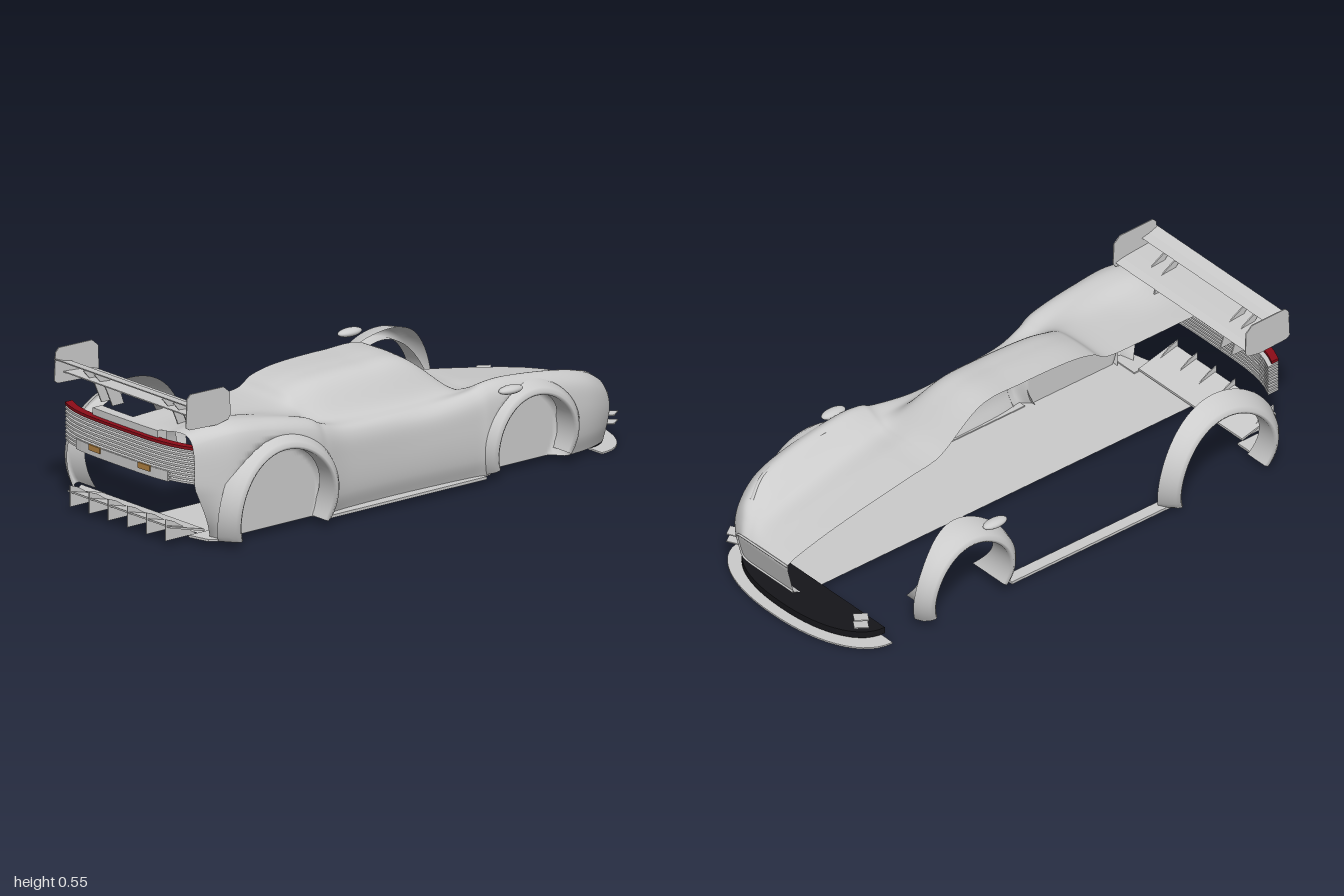
import * as THREE from 'three';

const paint = (color = 0xcccccc) => new THREE.MeshStandardMaterial({ color, side: THREE.DoubleSide });
const grey = paint(), black = paint(0x16161a), red = paint(0x8c0c18), amber = paint(0xb08040);

// Body stations from nose to tail:
// x, centre height, roof edge z/y, valley z/y, fender crown z/y, side z
const STATIONS = [
  [0.93, 0.17, 0.15, 0.17, 0.20, 0.168, 0.24, 0.165, 0.27],
  [0.90, 0.185, 0.17, 0.187, 0.22, 0.192, 0.27, 0.195, 0.315],
  [0.85, 0.20, 0.20, 0.205, 0.25, 0.222, 0.31, 0.24, 0.362],
  [0.75, 0.225, 0.22, 0.23, 0.27, 0.26, 0.335, 0.292, 0.40],
  [0.60, 0.255, 0.23, 0.26, 0.28, 0.288, 0.35, 0.326, 0.415],
  [0.40, 0.29, 0.24, 0.29, 0.29, 0.312, 0.36, 0.349, 0.42],
  [0.30, 0.305, 0.25, 0.30, 0.30, 0.318, 0.365, 0.345, 0.415],
  [0.24, 0.33, 0.25, 0.32, 0.31, 0.315, 0.365, 0.325, 0.405],
  [0.08, 0.445, 0.22, 0.43, 0.31, 0.325, 0.36, 0.305, 0.395],
  [-0.10, 0.455, 0.22, 0.44, 0.315, 0.33, 0.365, 0.305, 0.39],
  [-0.30, 0.45, 0.215, 0.435, 0.315, 0.335, 0.37, 0.315, 0.395],
  [-0.41, 0.43, 0.21, 0.415, 0.31, 0.345, 0.375, 0.345, 0.41],
  [-0.48, 0.395, 0.22, 0.39, 0.305, 0.375, 0.375, 0.378, 0.42],
  [-0.65, 0.39, 0.22, 0.395, 0.30, 0.41, 0.37, 0.41, 0.42],
  [-0.82, 0.39, 0.21, 0.405, 0.28, 0.428, 0.35, 0.427, 0.415],
  [-0.95, 0.385, 0.20, 0.388, 0.26, 0.398, 0.31, 0.395, 0.35],
];
const ARCHES = [
  { name: 'rear', x: -0.625, y: 0.115, r: 0.2, well: 0.36, top: 0.40, foot: 0.34, out: 0.464, roll: 0 },
  { name: 'front', x: 0.48, y: 0.12, r: 0.162, well: 0.34, top: 0.38, foot: 0.235, out: 0.447, roll: 0.035 },
];

// Surface from a grid of points fn(i, j) -> [x, y, z]
function grid(nu, nv, fn) {
  const pos = [], idx = [];
  for (let i = 0; i <= nu; i++) for (let j = 0; j <= nv; j++) pos.push(...fn(i, j));
  for (let i = 0; i < nu; i++) for (let j = 0; j < nv; j++) {
    const a = i * (nv + 1) + j, b = a + nv + 1;
    idx.push(a, b, a + 1, b, b + 1, a + 1);
  }
  const g = new THREE.BufferGeometry();
  g.setAttribute('position', new THREE.Float32BufferAttribute(pos, 3));
  g.setIndex(idx);
  g.computeVertexNormals();
  return g;
}

// Station values smoothly interpolated between table rows
function stationAt(t) {
  const i = Math.min(Math.floor(t), STATIONS.length - 2), f = t - i;
  const at = k => STATIONS[Math.max(0, Math.min(STATIONS.length - 1, k))];
  return at(i).map((p1, c) => {
    const p0 = at(i - 1)[c], p2 = at(i + 1)[c], p3 = at(i + 2)[c];
    return p1 + 0.5 * f * (p2 - p0 + f * (2 * p0 - 5 * p1 + 4 * p2 - p3 + f * (3 * (p1 - p2) + p3 - p0)));
  });
}

// One half cross-section, centre line round to the sill
function section(t, n) {
  const [x, yc, zr, yr, zb, yb, zs, ys, zm] = stationAt(t);
  const yB = x > 0.85 ? 0.025 + (x - 0.85) * 0.3 : 0.025;
  const tuck = THREE.MathUtils.clamp((-0.85 - x) / 0.1, 0, 1) * 0.45;
  const chin = THREE.MathUtils.clamp((x - 0.85) / 0.08, 0, 1) * 0.25;
  const pts = [[0, yc], [zr * 0.6, yc], [zr, yr], [zb, yb], [zs, ys], [zs + (zm - zs) * 0.72, ys - 0.03],
    [zm, Math.min(0.21, ys * 0.65)], [zm - 0.005, 0.09], [zm - 0.025, yB]].map(([z, y]) => new THREE.Vector3(x, y, z));
  return new THREE.CatmullRomCurve3(pts).getPoints(n).map(p => {
    // Sink the side behind the wheel arches
    for (const a of ARCHES) {
      const d = Math.hypot(p.x - a.x, p.y - a.y) - a.r;
      p.z -= Math.max(0, p.z - a.well) * (1 - THREE.MathUtils.smoothstep(d, -0.005, 0.035));
    }
    // Tail tucks under the panel and the chin recedes
    p.x += tuck * Math.max(0, 0.22 - p.y) - chin * Math.max(0, 0.15 - p.y);
    return [p.x, Math.max(p.y, 0.022), Math.max(p.z, 0)];
  });
}

// Flat plan outline [x, z] extruded upward from y
function plate(points, y, h) {
  const s = new THREE.Shape(points.map(([x, z]) => new THREE.Vector2(x, -z)));
  const g = new THREE.ExtrudeGeometry(s, { depth: h, bevelEnabled: false });
  return g.rotateX(-Math.PI / 2).translate(0, y, 0);
}

// Side outline [x, y] extruded to width w about z
function sidePlate(points, z, w) {
  const s = new THREE.Shape(points.map(p => new THREE.Vector2(...p)));
  return new THREE.ExtrudeGeometry(s, { depth: w, bevelEnabled: false }).translate(0, 0, z - w / 2);
}

// Strip following the rounded tail
function tailStrip(y, h, z0, z1, depth, push = 0) {
  const back = [], front = [];
  for (let i = 0; i <= 16; i++) {
    const z = z0 + (z1 - z0) * i / 16, x = -0.985 + push + 3.3 * z ** 4;
    back.push([x, z]);
    front.unshift([x + depth, z]);
  }
  return plate([...back, ...front], y, h);
}

// Rounded splitter outline
function splitterShape(x0, x1, w) {
  const pts = [], p = 2.2;
  for (let i = 0; i <= 28; i++) {
    const k = Math.sin(Math.PI / 2 * (i / 14 - 1));
    pts.push([x0 + (x1 - x0) * (1 - Math.abs(k) ** p) ** (1 / p), k * w]);
  }
  return pts;
}

export function createModel() {
  const car = new THREE.Group();
  car.name = 'raceCar';
  const add = (name, geo, mat = grey) => {
    const m = new THREE.Mesh(geo, mat);
    m.name = name;
    car.add(m);
    return m;
  };
  const box = (name, w, h, d, x, y, z) => {
    const m = add(name, new THREE.BoxGeometry(w, h, d));
    m.position.set(x, y, z);
    return m;
  };
  const tube = (name, points, r, tension) => add(name, new THREE.TubeGeometry(
    new THREE.CatmullRomCurve3(points.map(p => new THREE.Vector3(...p)), false, 'catmullrom', tension), 48, r, 6));

  // Half body shell, nose cap and floor
  const NU = 225, NV = 64, rows = [];
  for (let i = 0; i <= NU; i++) rows.push(section(i / NU * (STATIONS.length - 1), NV));
  add('bodyShell', grid(NU, NV, (i, j) => rows[i][j]));
  add('noseFace', grid(1, NV, (i, j) => [rows[0][j][0], rows[0][j][1], rows[0][j][2] * i]));
  add('floor', grid(NU, 1, (i, j) => {
    const [x, y, z] = rows[i][NV];
    return [x, y, z * (1 - j)];
  }));
  // Grille frame and headlamp ridge
  tube('grilleFrame', [[0.932, 0.165, 0], [0.932, 0.163, 0.25], [0.93, 0.15, 0.265], [0.91, 0.065, 0.26],
    [0.907, 0.052, 0.22], [0.907, 0.052, 0]], 0.004, 0.2);
  tube('headlampRidge', [[0.69, 0.3, 0.345], [0.77, 0.28, 0.33], [0.84, 0.24, 0.295]], 0.008, 0.5);

  // Parts present on both sides
  for (const s of [1, -1]) {
    const side = s > 0 ? 'right' : 'left';
    for (const a of ARCHES) {
      const N = 48;
      add(`${a.name}Flare_${side}`, grid(N, 5, (i, j) => {
        const t = -0.45 + (Math.PI + 0.9) * i / N;
        const dr = [0, 0, 0.01, 0.024, 0.042, 0.06 - a.roll * 0.2][j];
        const y = Math.max(0.025, a.y + (a.r + dr) * Math.sin(t));
        const zo = a.out - 0.9 * (y - 0.2) ** 2;
        // Inner lip sweeps inward toward the feet
        const drop = (a.y + a.r - y) / (a.y + a.r - 0.03);
        const zin = a.top + (a.foot - a.top) * drop ** 2;
        const edge = zo - 0.062 - a.roll * Math.max(0, Math.sin(t)) ** 4;
        return [a.x + (a.r + dr) * Math.cos(t), y, s * [zin, zo - 0.008, zo, zo - 0.008, zo - 0.028, edge][j]];
      }));
    }
    const mirror = add(`mirrorPod_${side}`, new THREE.SphereGeometry(1, 24, 14));
    mirror.scale.set(0.05, 0.015, 0.024);
    mirror.position.set(0.375, 0.322, s * 0.422);
    box(`sideSkirt_${side}`, 0.7, 0.01, 0.045, -0.065, 0.024, s * 0.382);
    // Nose canards
    for (const y of [0.083, 0.113]) {
      const c = box(`canard_${side}`, 0.05, 0.004, 0.05, 0.885, y, s * 0.328);
      c.rotation.set(-s * 0.15, s * 0.6, 0.1);
    }
    // Wing end plates and pylons
    add(`wingEndPlate_${side}`, sidePlate([[-0.985, 0.44], [-0.97, 0.43], [-0.85, 0.425], [-0.8, 0.435], [-0.79, 0.45],
      [-0.793, 0.53], [-0.82, 0.553], [-0.965, 0.555], [-0.98, 0.54]], s * 0.345, 0.004));
    for (const z of [0.178, 0.235])
      add(`wingPylon_${side}`, sidePlate([[-0.87, 0.37], [-0.82, 0.37], [-0.85, 0.455], [-0.92, 0.495], [-0.95, 0.495], [-0.9, 0.44]], s * z, 0.005));
    // Rear lower corner and tail lamps
    add(`rearCorner_${side}`, plate([[-0.91, s * 0.27], [-0.89, s * 0.35], [-0.82, s * 0.4], [-0.82, s * 0.27]], 0.022, 0.008));
    add(`tailLamp_${side}`, tailStrip(0.243, 0.02, s * 0.1, s * 0.16, 0.01, -0.006), amber);
  }

  // Rear wing, main plane and flap
  add('wingMainPlane', sidePlate([[-0.80, 0.45], [-0.83, 0.458], [-0.88, 0.463], [-0.945, 0.468], [-0.945, 0.464],
    [-0.88, 0.452], [-0.83, 0.446]], 0, 0.69));
  add('wingFlap', sidePlate([[-0.915, 0.5], [-0.95, 0.507], [-0.985, 0.52], [-0.985, 0.516], [-0.95, 0.499]], 0, 0.69));

  // Tail panel: lip, light bar, louvres and lower plate
  add('tailLip', tailStrip(0.345, 0.04, -0.17, 0.17, 0.04, 0.02));
  add('tailLightBar', tailStrip(0.35, 0.01, -0.34, 0.34, 0.03), red);
  for (let i = 0; i < 9; i++)
    add('tailLouvre', tailStrip(0.23 + i * 0.0135, 0.007, -0.34, 0.34, 0.045));
  add('tailLowerPlate', tailStrip(0.225, 0.036, -0.24, 0.24, 0.015, -0.002));

  // Diffuser ramp and fins
  add('diffuserRamp', sidePlate([[-0.84, 0.03], [-0.99, 0.07], [-0.99, 0.076], [-0.84, 0.038]], 0, 0.54));
  for (let i = -2; i <= 3; i++)
    add('diffuserFin', sidePlate([[-0.86, 0.022], [-0.995, 0.022], [-0.995, 0.098], [-0.96, 0.085]], -0.05 + i * 0.1, 0.004));

  // Front splitter: dark tray on a thin lip
  add('splitterTray', plate(splitterShape(0.79, 0.962, 0.34), 0.012, 0.024), black);
  add('splitterLip', plate(splitterShape(0.8, 1.0, 0.392), 0.001, 0.006));
  return car;
}
